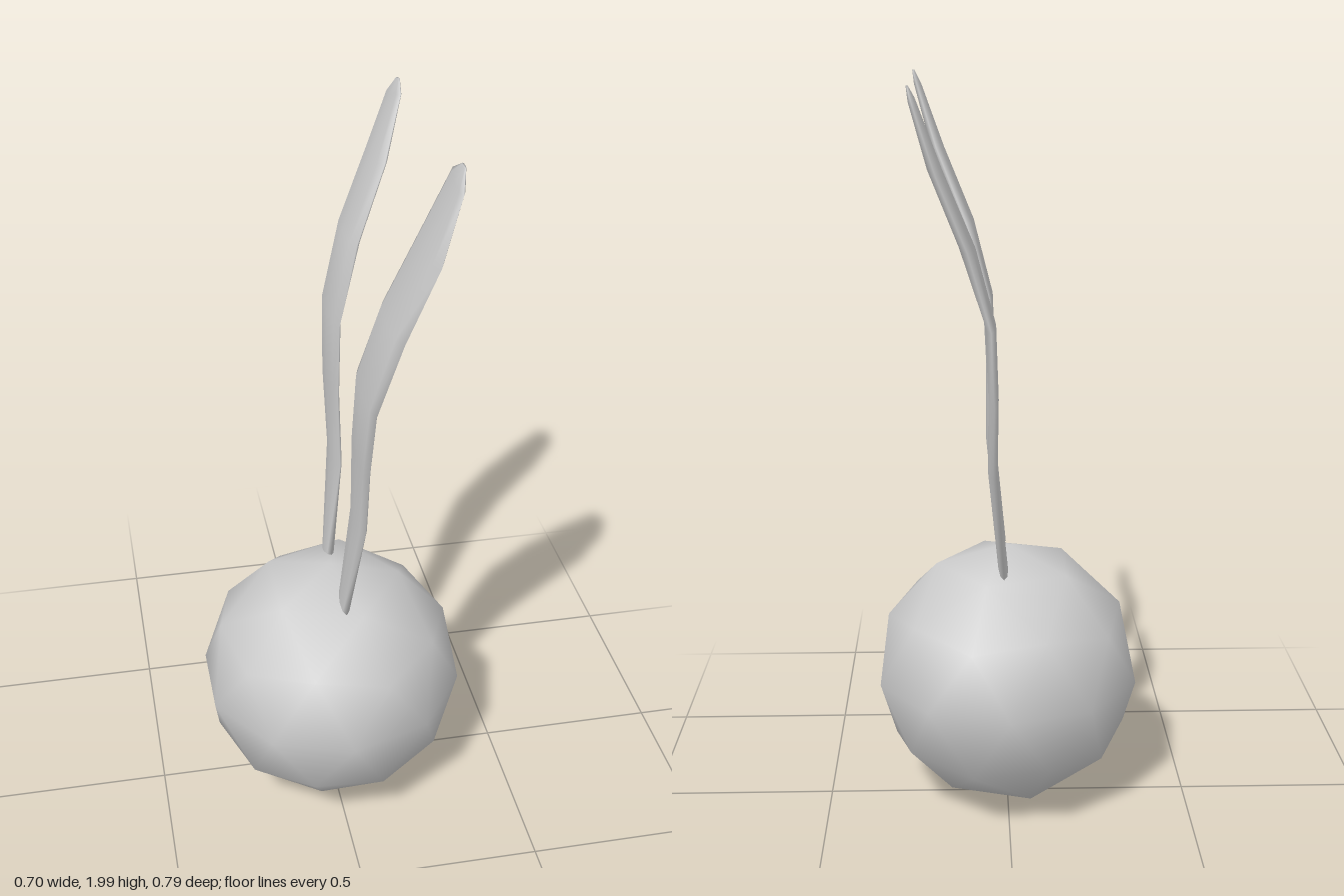
import * as THREE from 'three';

const material = new THREE.MeshStandardMaterial({ color: 0xcccccc });

// Sideways bend shared by both ears: [height, x]
const SPINE = [[0.69, 0.012], [1.0, 0.042], [1.2, 0.04], [1.4, 0.048], [1.6, 0.105], [1.8, 0.185], [2.0, 0.247]];

function bendX(y) {
  let i = 0;
  while (i < SPINE.length - 2 && y > SPINE[i + 1][0]) i++;
  const [y0, x0] = SPINE[i], [y1, x1] = SPINE[i + 1];
  return x0 + (x1 - x0) * (y - y0) / (y1 - y0);
}

// Half thickness of the ear at each row
const HALF = [0.013, 0.013, 0.013, 0.014, 0.02, 0.018, 0.01, 0.003];

// Thin closed blade lofted through rows of [front edge z, y, back edge z, y]
function earGeometry(rows) {
  const n = 8, positions = [], index = [];
  rows.forEach(([zf, yf, zb, yb], r) => {
    for (let k = 0; k < n; k++) {
      const a = k / n * Math.PI * 2, t = (1 + Math.cos(a)) / 2;
      const y = yb + (yf - yb) * t;
      positions.push(bendX(y) + HALF[r] * Math.sin(a), y, zb + (zf - zb) * t);
      if (r < rows.length - 1) {
        const p = r * n + k, q = r * n + (k + 1) % n;
        index.push(p, q, q + n, p, q + n, p + n);
      }
    }
  });
  // end caps
  const top = (rows.length - 1) * n;
  for (let k = 1; k < n - 1; k++) {
    index.push(0, k + 1, k);
    index.push(top, top + k, top + k + 1);
  }
  const g = new THREE.BufferGeometry();
  g.setAttribute('position', new THREE.Float32BufferAttribute(positions, 3));
  g.setIndex(index);
  g.computeVertexNormals();
  return g;
}

const FRONT_EAR = [
  [0.20, 0.69, 0.11, 0.715], [0.28, 1.0, 0.11, 1.0], [0.325, 1.2, 0.115, 1.22], [0.36, 1.4, 0.125, 1.4],
  [0.385, 1.6, 0.15, 1.6], [0.396, 1.79, 0.185, 1.8], [0.37, 1.95, 0.245, 1.97], [0.325, 1.995, 0.295, 1.998],
];
const BACK_EAR = [
  [-0.04, 0.72, -0.13, 0.69], [-0.055, 1.0, -0.225, 1.0], [-0.08, 1.2, -0.29, 1.2], [-0.105, 1.4, -0.335, 1.4],
  [-0.165, 1.6, -0.372, 1.6], [-0.21, 1.8, -0.392, 1.78], [-0.265, 1.96, -0.386, 1.935], [-0.315, 1.985, -0.345, 1.98],
];

export function createModel() {
  const model = new THREE.Group();
  const add = (name, geometry) => {
    const mesh = new THREE.Mesh(geometry, material);
    mesh.name = name;
    model.add(mesh);
    return mesh;
  };

  // Ball head: subdivided icosahedron turned so a corner points straight up
  const ball = new THREE.IcosahedronGeometry(0.368, 1);
  ball.rotateZ(-Math.atan2(1, (1 + Math.sqrt(5)) / 2));
  add('head', ball).position.set(0, 0.372, 0.024);

  // Two long ears
  add('frontEar', earGeometry(FRONT_EAR));
  add('backEar', earGeometry(BACK_EAR));
  return model;
}
